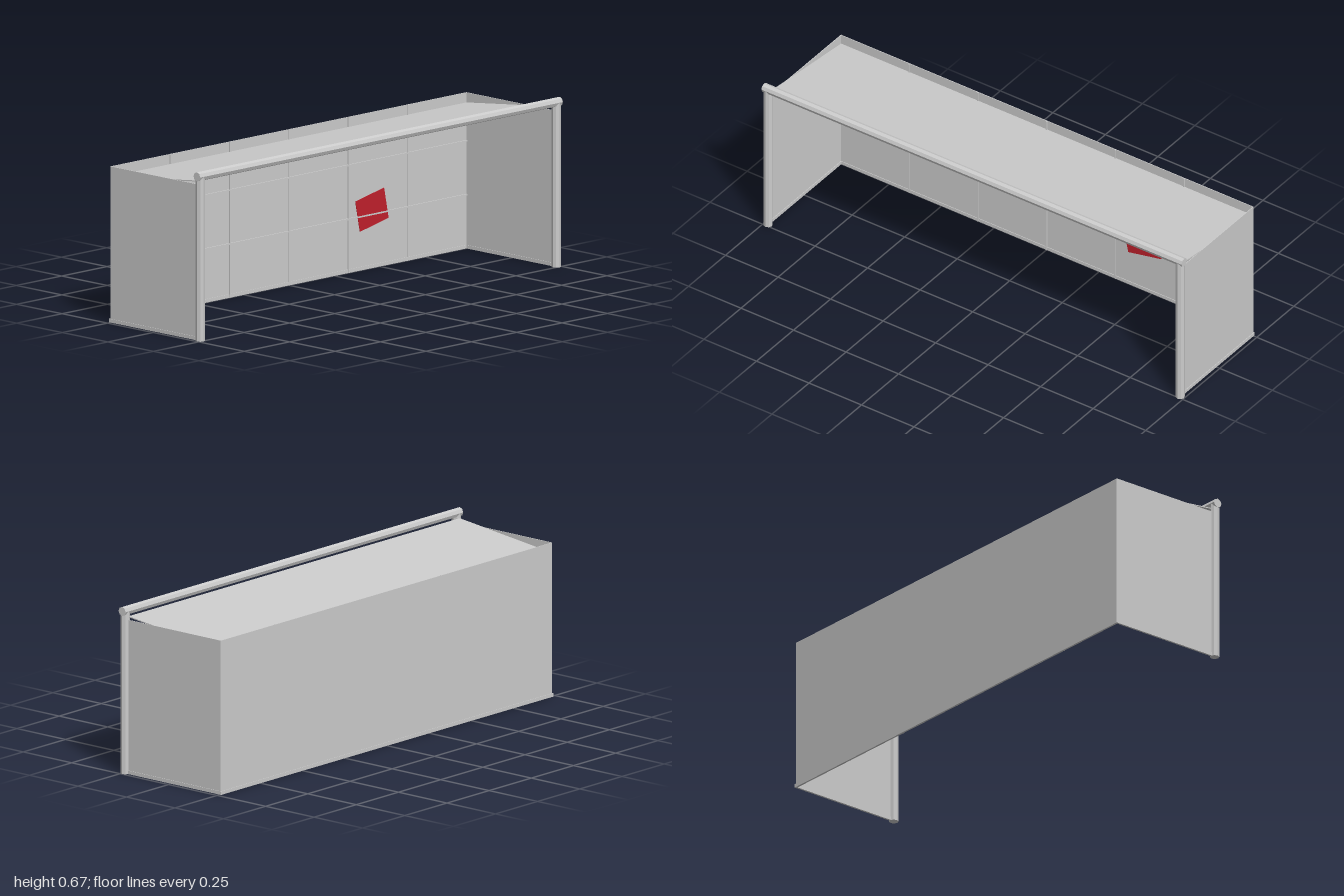
import * as THREE from 'three';

const grey = new THREE.MeshStandardMaterial({ color: 0xcccccc, flatShading: true });
const red = new THREE.MeshStandardMaterial({ color: 0xc0202c, flatShading: true });

export function createModel() {
  const group = new THREE.Group();
  const add = (name, geometry, x, y, z, material = grey) => {
    const mesh = new THREE.Mesh(geometry, material);
    mesh.name = name;
    mesh.position.set(x, y, z);
    group.add(mesh);
    return mesh;
  };
  const box = (name, w, h, d, x, y, z, material) =>
    add(name, new THREE.BoxGeometry(w, h, d), x, y, z, material);

  const R = 0.0185;        // tube radius of the goal frame
  const frontZ = 0.24;
  const backZ = -0.2525;
  const sideX = 0.981;
  const wallTop = 0.62;

  // Octagonal front posts and crossbar
  for (const s of [-1, 1]) {
    add(s > 0 ? 'leftPost' : 'rightPost', new THREE.CylinderGeometry(R, R, 0.655, 8), s * sideX, 0.3275, frontZ);
  }
  add('crossbar', new THREE.CylinderGeometry(R, R, 2, 8), 0, 0.6545, frontZ).rotation.z = Math.PI / 2;

  // Thin side panels with ground bars
  for (const s of [-1, 1]) {
    const side = s > 0 ? 'left' : 'right';
    box(side + 'Panel', 0.003, wallTop, frontZ - backZ, s * sideX, wallTop / 2, (frontZ + backZ) / 2);
    box(side + 'GroundBar', 0.008, 0.014, 0.48, s * sideX, 0.007, -0.017);
  }

  // Back panel with ground bar
  box('backPanel', sideX * 2, wallTop, 0.003, 0, wallTop / 2, backZ);
  box('backGroundBar', sideX * 2 + 0.008, 0.014, 0.008, 0, 0.007, backZ);

  // Ribs on the inside of the back panel
  for (let i = -2; i <= 2; i++) {
    box('backUpright', 0.005, wallTop, 0.006, i * 0.327, wallTop / 2, backZ + 0.003);
  }
  for (const y of [0.214, 0.428]) {
    box('backRail', sideX * 2, 0.006, 0.007, 0, y, backZ + 0.0035);
  }

  // Roof sheet falling from the crossbar to the back panel
  const drop = 0.055, run = 0.475;
  box('roof', sideX * 2, 0.004, Math.hypot(drop, run), 0, 0.6055, -0.0145)
    .rotation.x = -Math.atan2(drop, run);

  // Tilted red target on the back panel
  box('target', 0.161, 0.126, 0.002, 0.456, 0.2325, backZ + 0.004, red).rotation.z = 0.2;

  return group;
}
